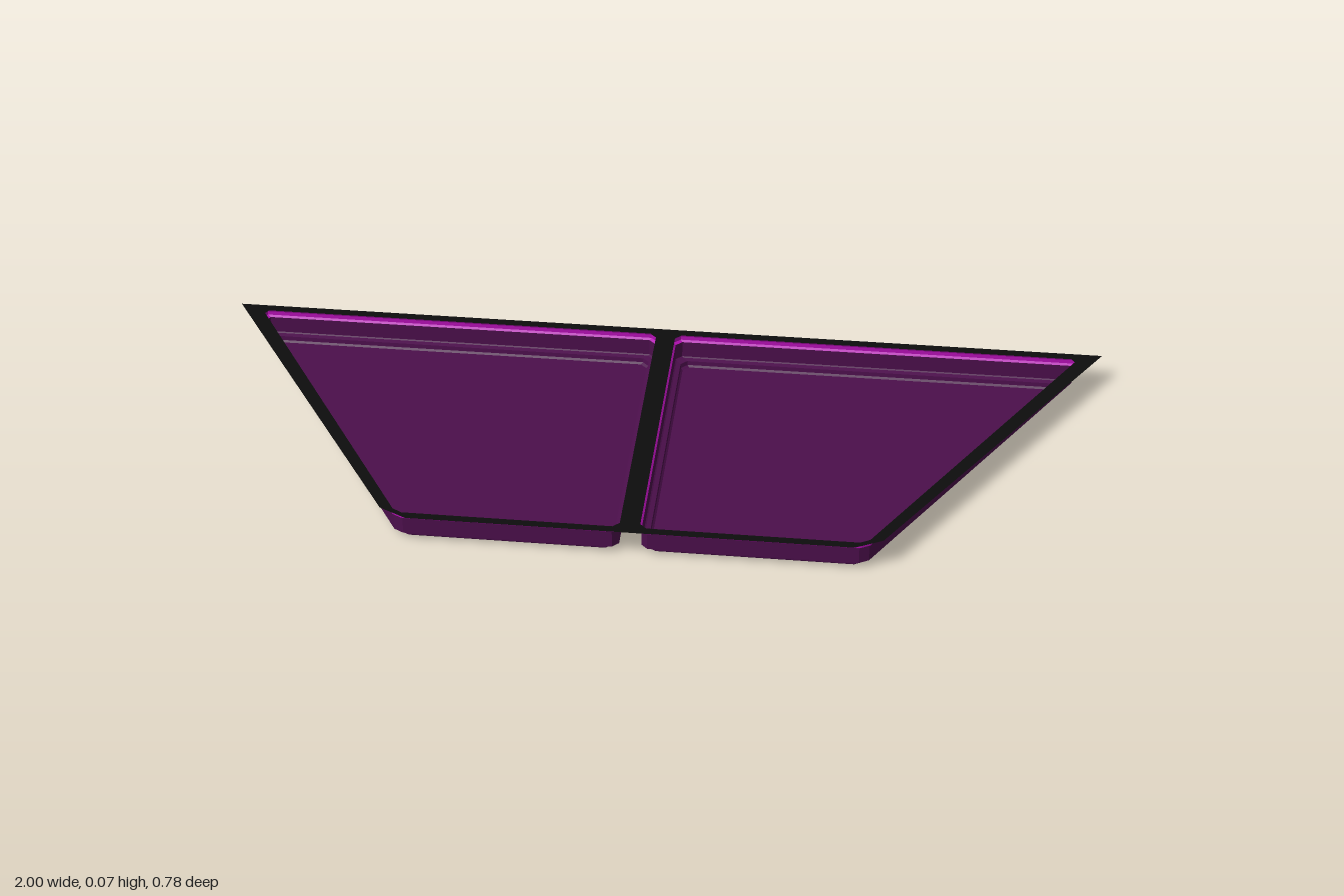
import * as THREE from 'three';

const TOP = 0.074;
// Plan outline [x, z] of the +x tray at its rim
const TRAY = [[0.022, -0.372], [0.945, -0.372], [0.505, 0.372], [0.022, 0.372]];

// Move every side of a convex outline inwards by d
function inset(pts, d) {
  const n = pts.length;
  const lines = pts.map((p, i) => {
    const q = pts[(i + 1) % n];
    const dx = q[0] - p[0], dz = q[1] - p[1], l = Math.hypot(dx, dz);
    const nx = -dz / l, nz = dx / l;
    return [nx, nz, nx * p[0] + nz * p[1] + d];
  });
  return lines.map((b, i) => {
    const a = lines[(i + n - 1) % n], det = a[0] * b[1] - a[1] * b[0];
    return [(a[2] * b[1] - b[2] * a[1]) / det, (a[0] * b[2] - b[0] * a[2]) / det];
  });
}

// Cut each corner into two points
function chamfer(pts, c) {
  const n = pts.length;
  return pts.flatMap((p, i) => [pts[(i + n - 1) % n], pts[(i + 1) % n]].map((q) => {
    const l = Math.hypot(q[0] - p[0], q[1] - p[1]);
    return [p[0] + (q[0] - p[0]) * c / l, p[1] + (q[1] - p[1]) * c / l];
  }));
}

// Faceted skin through outlines given as [inset, y], from top to bottom
function skin(profile, closed, side) {
  const rings = profile.map(([d, y]) =>
    chamfer(inset(TRAY, d), 0.014).map(([x, z]) => [x * side, y, z]));
  const pos = [];
  const tri = (a, b, c) => (side > 0 ? pos.push(...a, ...b, ...c) : pos.push(...a, ...c, ...b));
  for (let r = 0; r + 1 < rings.length; r++) {
    const A = rings[r], B = rings[r + 1];
    A.forEach((a, i) => {
      const j = (i + 1) % A.length;
      tri(a, A[j], B[i]);
      tri(A[j], B[j], B[i]);
    });
  }
  if (closed) {
    const f = rings[rings.length - 1];
    for (let i = 1; i + 1 < f.length; i++) tri(f[0], f[i], f[i + 1]);
  }
  const g = new THREE.BufferGeometry();
  g.setAttribute('position', new THREE.Float32BufferAttribute(pos, 3));
  g.computeVertexNormals();
  return g;
}

export function createModel() {
  const model = new THREE.Group();
  const mat = (color) => new THREE.MeshStandardMaterial({ color, side: THREE.DoubleSide, flatShading: true });
  const purple = mat(0x4c0f4c), magenta = mat(0xb510b5), black = mat(0x0d0d0d);
  const add = (parent, name, geo, m) => {
    const mesh = new THREE.Mesh(geo, m);
    mesh.name = name;
    parent.add(mesh);
  };

  // Thin flange plate with an opening over each tray
  const toShape = ([x, z]) => new THREE.Vector2(x, -z);
  const plate = new THREE.Shape([[-1, -0.393], [1, -0.393], [0.54, 0.36], [0.48, 0.391],
    [-0.48, 0.391], [-0.54, 0.36]].map(toShape));
  for (const s of [1, -1]) {
    plate.holes.push(new THREE.Path(chamfer(TRAY, 0.014).map(([x, z]) => toShape([x * s, z]))));
  }
  add(model, 'flangePlate', new THREE.ShapeGeometry(plate).rotateX(-Math.PI / 2).translate(0, TOP, 0), black);

  // Two mirrored open trays, each with a bright band under the plate
  for (const s of [1, -1]) {
    const tray = new THREE.Group();
    tray.name = s > 0 ? 'leftTray' : 'rightTray';
    add(tray, 'rimBand', skin([[0, TOP], [-0.002, 0.07], [-0.002, 0.061], [0.002, 0.057]], false, s), magenta);
    add(tray, 'pan', skin([[0.002, 0.057], [0.002, 0.018], [0.005, 0.016], [0.015, 0.014],
      [0.016, 0.004], [0.02, 0]], true, s), purple);
    model.add(tray);
  }
  return model;
}
